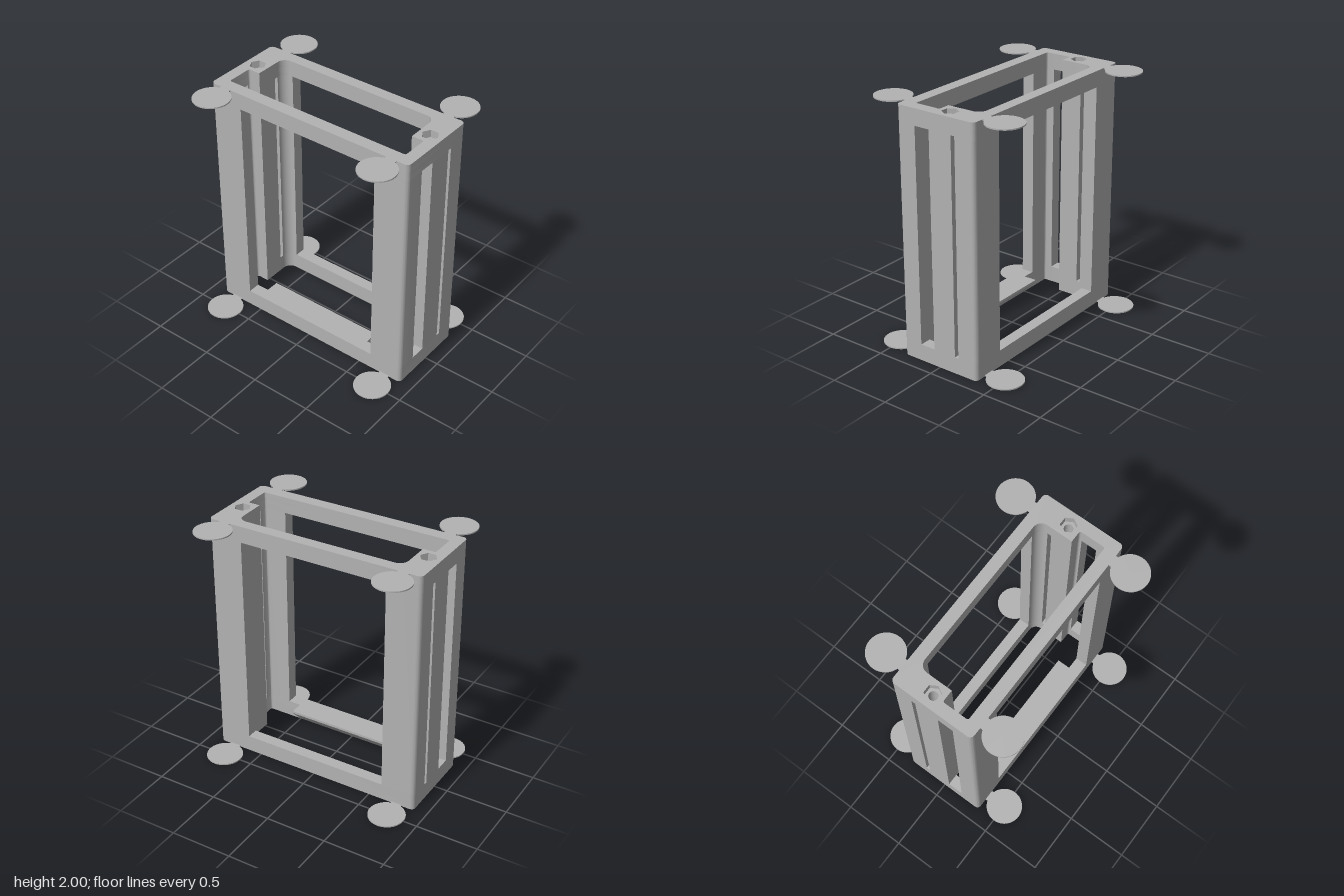
import * as THREE from 'three';
import { toCreasedNormals } from 'three/addons/utils/BufferGeometryUtils.js';

const grey = new THREE.MeshStandardMaterial({ color: 0xb2b2b2 });
grey.name = 'light grey plastic';

// Plan outline (x, z) from corners [x, z, radius]; a radius rounds that corner.
function outline(points, path = new THREE.Shape()) {
  const n = points.length;
  const toward = (a, b, d) => {
    const l = Math.hypot(b[0] - a[0], b[1] - a[1]);
    return [a[0] + (b[0] - a[0]) * d / l, a[1] + (b[1] - a[1]) * d / l];
  };
  points.forEach((p, i) => {
    const r = p[2] || 0;
    const prev = points[(i + n - 1) % n], next = points[(i + 1) % n];
    const start = toward(p, prev, r);
    if (i === 0) path.moveTo(...start);
    else path.lineTo(...start);
    if (r) {
      const end = toward(p, next, r);
      path.bezierCurveTo(...toward(p, prev, r * 0.448), ...toward(p, next, r * 0.448), ...end);
    }
  });
  path.closePath();
  return path;
}

const mirrored = (points, s) => points.map(([x, z, r]) => [x * s, z, r]);

// Extrudes a plan outline upwards from y0 to y1.
function slab(name, shape, y0, y1) {
  const g = new THREE.ExtrudeGeometry(shape, { depth: y1 - y0, bevelEnabled: false, curveSegments: 10 });
  g.rotateX(Math.PI / 2).translate(0, y1, 0);
  const mesh = new THREE.Mesh(toCreasedNormals(g, 0.6), grey);
  mesh.name = name;
  return mesh;
}

const BOLT_X = 0.787, BOLT_Z = -0.062;
const boltHole = (s) => new THREE.Path().absarc(BOLT_X * s, BOLT_Z, 0.035, 0, Math.PI * 2);
const nutPocket = (s) => outline(Array.from({ length: 6 }, (_, i) => [
  s * BOLT_X + 0.064 * Math.cos(i * Math.PI / 3), BOLT_Z + 0.064 * Math.sin(i * Math.PI / 3)]), new THREE.Path());

// Closed frame with the stepped opening and a pair of bolt openings.
function frameShape(opening) {
  const shape = outline([
    [-0.89, -0.348, 0.035], [0.89, -0.348, 0.035], [0.89, 0.345, 0.035], [-0.89, 0.345, 0.035]]);
  const half = [[0.695, -0.255, 0.07], [0.695, 0.03], [0.795, 0.03, 0.015], [0.795, 0.245, 0.015]];
  shape.holes.push(outline([...half, ...mirrored(half, -1).reverse()], new THREE.Path()));
  shape.holes.push(opening(1), opening(-1));
  return shape;
}

export function createModel() {
  const model = new THREE.Group();
  model.name = 'slottedFrame';
  const LOW = 0.135, HIGH = 1.87;

  // Bottom and top frames; the top has hexagonal nut pockets
  model.add(slab('bottomFrame', frameShape(boltHole), 0, LOW));
  model.add(slab('topFrame', frameShape(boltHole), HIGH, 1.94));
  model.add(slab('nutPocketFrame', frameShape(nutPocket), 1.94, 2));

  // Uprights on each side, separated by the two vertical slots
  const back = [[0.61, -0.348], [0.89, -0.348, 0.035], [0.89, -0.178], [0.695, -0.178],
    [0.695, -0.255, 0.07], [0.61, -0.255]];
  const middle = [[0.695, -0.145], [0.89, -0.145], [0.89, 0.052], [0.795, 0.052],
    [0.795, 0.03, 0.015], [0.695, 0.03]];
  const front = [[0.795, 0.18], [0.89, 0.18], [0.89, 0.345, 0.035], [0.61, 0.345],
    [0.61, 0.245], [0.795, 0.245, 0.015]];
  for (const s of [1, -1]) {
    const side = s > 0 ? 'left' : 'right';
    const boltShape = outline(mirrored(middle, s));
    boltShape.holes.push(boltHole(s));
    model.add(
      slab(side + 'BackUpright', outline(mirrored(back, s)), LOW, HIGH),
      slab(side + 'BoltUpright', boltShape, LOW, HIGH),
      slab(side + 'FrontUpright', outline(mirrored(front, s)), LOW, HIGH));
  }

  // Sloped ledge behind the lower front rail
  const wedge = outline([[-0.25, 0], [-0.245, 0], [-0.135, 0.115], [-0.135, LOW], [-0.25, LOW]]);
  const ledgeGeometry = new THREE.ExtrudeGeometry(wedge, { depth: 1.01, bevelEnabled: false });
  ledgeGeometry.rotateY(Math.PI / 2).translate(-0.505, 0, 0);
  const ledge = new THREE.Mesh(ledgeGeometry, grey);
  ledge.name = 'slopedLedge';
  model.add(ledge);

  // Thin corner discs with short necks, at top and bottom
  const discGeometry = new THREE.CylinderGeometry(0.145, 0.145, 0.01, 48);
  const neckGeometry = new THREE.BoxGeometry(0.088, 0.01, 0.05);
  for (const y of [0.005, 1.995]) for (const sx of [1, -1]) for (const sz of [1, -1]) {
    const pad = new THREE.Group();
    pad.name = 'cornerPad';
    const disc = new THREE.Mesh(discGeometry, grey);
    disc.name = 'padDisc';
    disc.position.set(sx * 0.745, y, sz * 0.502);
    const neck = new THREE.Mesh(neckGeometry, grey);
    neck.name = 'padNeck';
    neck.position.set(sx * 0.747, y, sz * 0.362);
    pad.add(disc, neck);
    model.add(pad);
  }
  return model;
}
